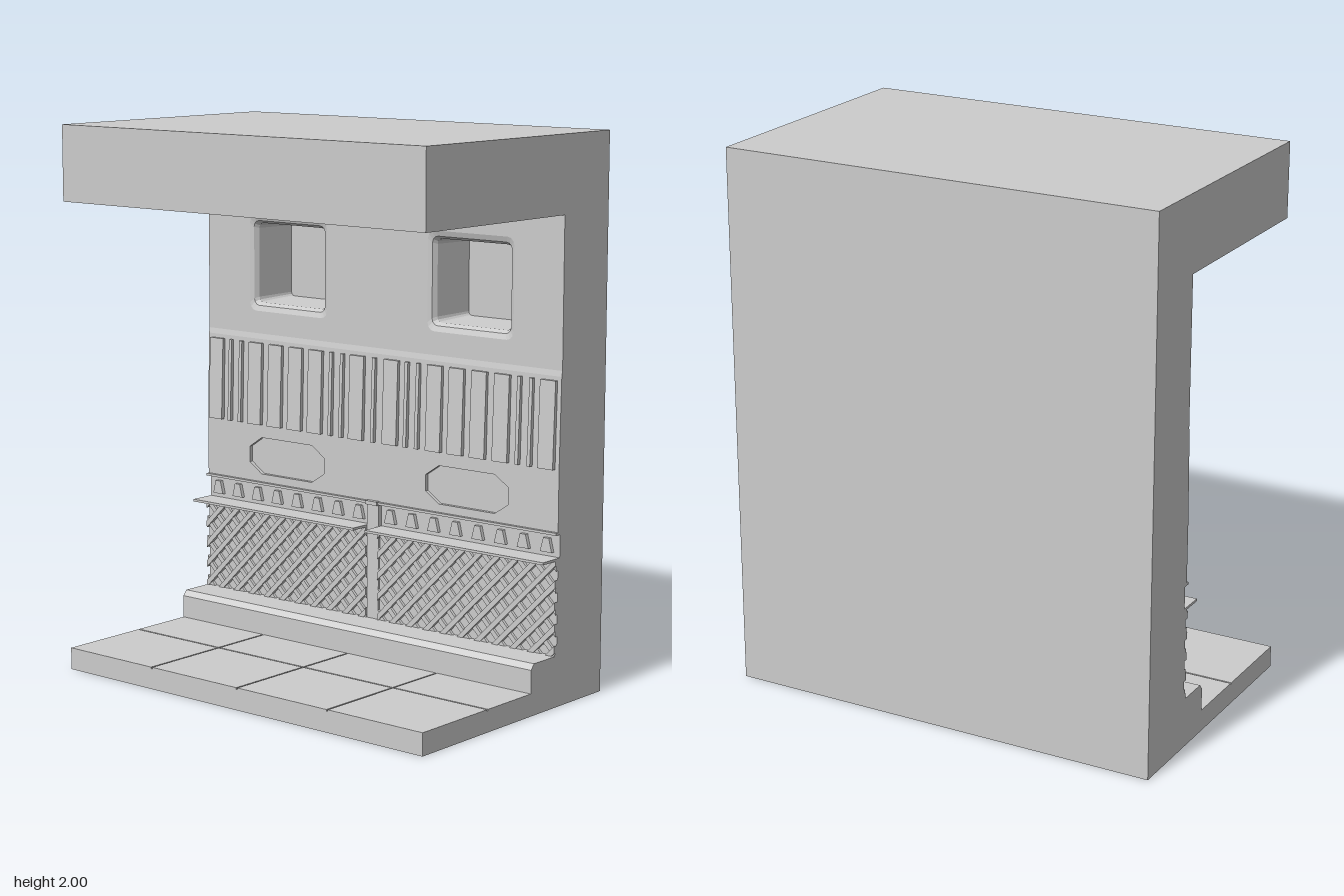
import * as THREE from 'three';

const W = 0.825; // half width
const mat = new THREE.MeshStandardMaterial({ color: 0xcccccc, flatShading: true });

export function createModel() {
  const root = new THREE.Group();
  const add = (name, geo) => {
    const m = new THREE.Mesh(geo, mat);
    m.name = name;
    root.add(m);
    return m;
  };
  const box = (name, x0, x1, y0, y1, z0, z1) =>
    add(name, new THREE.BoxGeometry(x1 - x0, y1 - y0, z1 - z0)
      .translate((x0 + x1) / 2, (y0 + y1) / 2, (z0 + z1) / 2));
  const shapeOf = pts => new THREE.Shape(pts.map(p => new THREE.Vector2(p[0], p[1])));
  // Outline in x,y extruded from z0 to z1
  const plate = (name, pts, z0, z1, holes = []) => {
    const s = shapeOf(pts);
    s.holes = holes.map(h => shapeOf(h));
    return add(name, new THREE.ExtrudeGeometry(s, { depth: z1 - z0, bevelEnabled: false }).translate(0, 0, z0));
  };
  // Profile in z,y extruded along x
  const profile = (name, pts, x0, x1) =>
    add(name, new THREE.ExtrudeGeometry(shapeOf(pts), { depth: x1 - x0, bevelEnabled: false })
      .rotateY(-Math.PI / 2).translate(x1, 0, 0));
  const rect = (x0, x1, y0, y1) => [[x0, y0], [x1, y0], [x1, y1], [x0, y1]];

  // Main body: floor, step, back wall and ceiling, notched behind the windows and pockets
  profile('body', [
    [-0.51, 0], [0.51, 0], [0.51, 0.075], [-0.09, 0.075], [-0.09, 0.165], [-0.107, 0.185],
    [-0.24, 0.185], [-0.24, 0.53], [-0.25, 0.53], [-0.25, 0.62], [-0.253, 0.62], [-0.253, 0.84],
    [-0.238, 0.84], [-0.246, 1.17], [-0.25, 1.19], [-0.45, 1.19], [-0.45, 1.725],
    [0.51, 1.725], [0.51, 2], [-0.51, 2],
  ], -W, W);

  // Floor tiles with fine grooves
  const g = 0.003;
  for (let i = 0; i < 4; i++) {
    const x0 = -W + i * W / 2, x1 = x0 + W / 2;
    for (const [z0, z1] of [[-0.09, 0.157 - g], [0.157 + g, 0.51]])
      box('floorTile', i ? x0 + g : x0, i < 3 ? x1 - g : x1, 0.07, 0.081, z0, z1);
  }

  // Rounded rectangle, counter-clockwise
  const roundRect = (cx, cy, w, h, r) => {
    const pts = [];
    for (let c = 0; c < 4; c++) {
      const sx = c === 0 || c === 3 ? 1 : -1, sy = c < 2 ? 1 : -1;
      for (let k = 0; k <= 3; k++) {
        const a = (c + k / 3) * Math.PI / 2;
        pts.push([cx + sx * (w / 2 - r) + r * Math.cos(a), cy + sy * (h / 2 - r) + r * Math.sin(a)]);
      }
    }
    return pts;
  };

  // Windows: tapered recesses lofted through rounded rectangles
  const sections = [ // width, height, corner radius, z
    [0.38, 0.36, 0.03, -0.25], [0.35, 0.32, 0.025, -0.257],
    [0.33, 0.30, 0.02, -0.275], [0.316, 0.285, 0.015, -0.45],
  ];
  const windowHoles = [];
  for (const cx of [-0.425, 0.425]) {
    const loops = sections.map(([w, h, r, z]) => roundRect(cx, 1.455, w, h, r).map(p => [...p, z]));
    windowHoles.push(loops[0]);
    const pos = [];
    for (let s = 0; s < loops.length - 1; s++) {
      const n = loops[s].length;
      for (let i = 0; i < n; i++) {
        const j = (i + 1) % n;
        const a = loops[s][i], b = loops[s][j], c = loops[s + 1][j], d = loops[s + 1][i];
        pos.push(...a, ...b, ...c, ...a, ...c, ...d);
      }
    }
    const geo = new THREE.BufferGeometry();
    geo.setAttribute('position', new THREE.Float32BufferAttribute(pos, 3));
    geo.computeVertexNormals();
    add('windowReveal', geo);
    add('windowPane', new THREE.ShapeGeometry(shapeOf(loops[3])).translate(0, 0, -0.4495));
  }
  plate('upperWall', rect(-W, W, 1.19, 1.725), -0.45, -0.25, windowHoles);

  // Middle wall with two shallow elongated pockets
  const pockets = [-0.425, 0.425].map(cx => {
    const w = 0.185, h = 0.07, c = 0.06, d = 0.04;
    return [[w, d - 0.01], [w - c, h], [c - w, h], [-w, d - 0.01], [-w, 0.01 - d], [c - w, -h], [w - c, -h], [w, 0.01 - d]]
      .map(([x, y]) => [cx + x, 0.725 + y]);
  });
  plate('middleWall', rect(-W, W, 0.62, 0.84), -0.253, -0.238, pockets);

  // Backrest slats: slanted wide and narrow strips, mirrored about the centre
  const slat = (x, w) => profile('slat',
    [[-0.25, 0.845], [-0.223, 0.845], [-0.234, 1.155], [-0.25, 1.155]], x - w / 2, x + w / 2);
  slat(0, 0.014);
  for (const s of [-1, 1]) {
    for (const x of [0.08, 0.28, 0.378, 0.478, 0.578, 0.775]) slat(s * x, 0.066);
    for (const x of [0.152, 0.204, 0.652, 0.704]) slat(s * x, 0.014);
  }

  // Thin rail with a centre clip
  box('rail', -W, W, 0.616, 0.625, -0.255, -0.225);
  box('railClip', -0.027, 0.027, 0.613, 0.627, -0.255, -0.22);
  // Centre post between the lattice panels
  box('centrePost', -0.027, 0.027, 0.185, 0.616, -0.255, -0.232);

  // Keep the part of a convex outline between x0 and x1
  const clipX = (pts, x0, x1) => {
    for (const [lim, sg] of [[x0, 1], [x1, -1]]) {
      const out = [];
      pts.forEach((p, i) => {
        const q = pts[(i + 1) % pts.length];
        const a = sg * (p[0] - lim), b = sg * (q[0] - lim);
        if (a >= 0) out.push(p);
        if (a * b < 0) out.push([lim, p[1] + (q[1] - p[1]) * a / (a - b)]);
      });
      pts = out;
    }
    return pts;
  };

  for (const s of [-1, 1]) {
    const x0 = s > 0 ? 0.027 : -W, x1 = s > 0 ? W : -0.027;
    // Shelf above the lattice
    box('shelf', x0, x1, 0.525, 0.534, -0.255, -0.152);
    // Tapered teeth
    for (let k = 0; k < 8; k++) {
      const x = s * (0.075 + k * 0.1);
      plate('tooth', [[x - 0.025, 0.55], [x + 0.025, 0.55], [x + 0.012, 0.6], [x - 0.012, 0.6]], -0.252, -0.236);
    }
    // Diagonal lattice bars in both directions
    const y0 = 0.185, y1 = 0.527, h = 0.013;
    for (const dir of [-1, 1]) {
      for (let k = -14; k <= 14; k++) {
        const c = s * 0.425 + k * 0.078, r = dir * (y1 - y0) / 2;
        const bar = clipX([[c - r - h, y0], [c - r + h, y0], [c + r + h, y1], [c + r - h, y1]], x0, x1);
        if (bar.length > 2) plate('latticeBar', bar, -0.242, dir > 0 ? -0.224 : -0.229);
      }
    }
  }
  return root;
}
